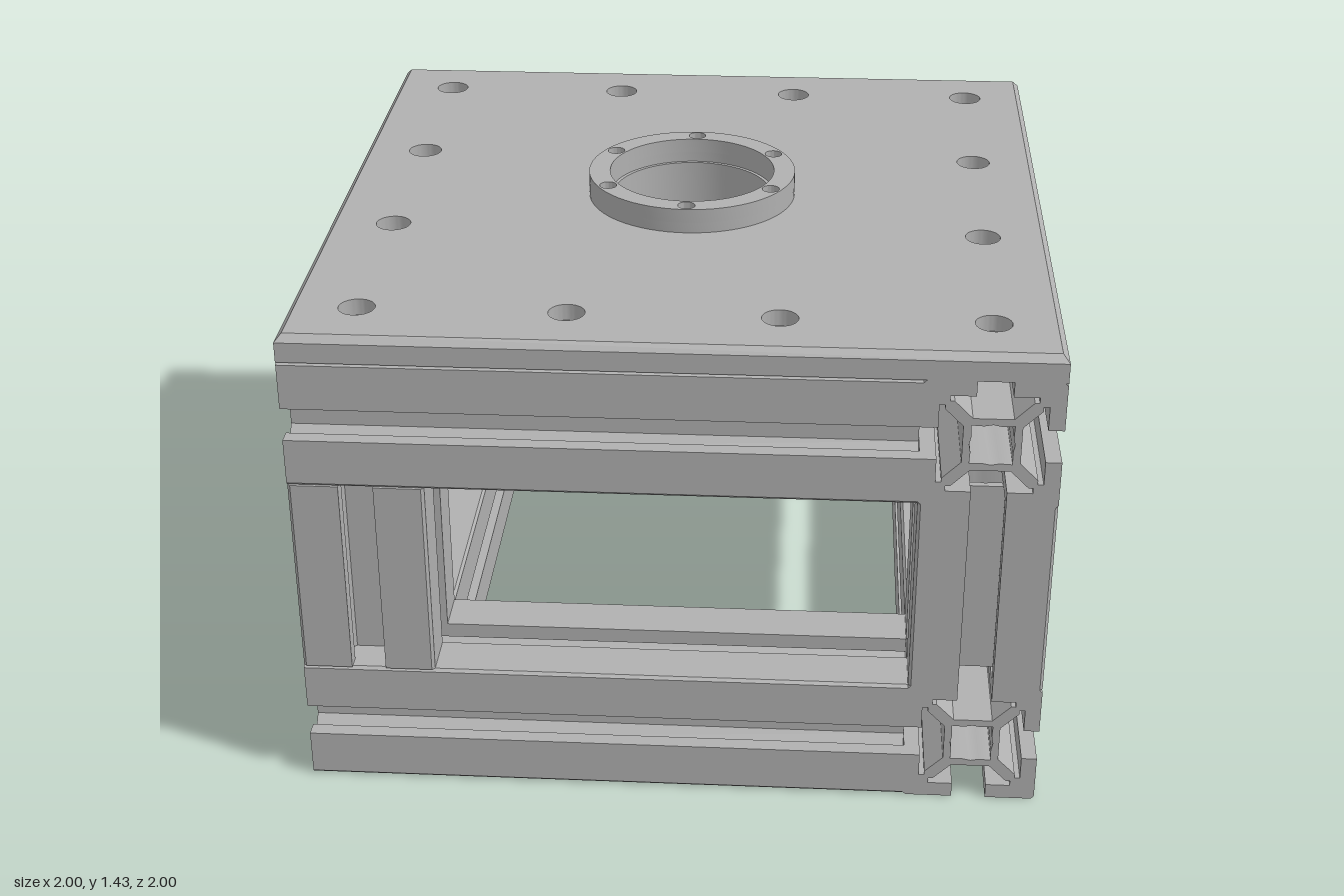
import * as THREE from 'three';
import { toCreasedNormals } from 'three/addons/utils/BufferGeometryUtils.js';

const W = 0.36;              // side of the slotted profile
const PLATE_Y = 1.285;       // underside of the top plate

function extrude(shape, depth, segments = 8) {
  const g = new THREE.ExtrudeGeometry(shape, { depth, bevelEnabled: false, curveSegments: segments });
  return toCreasedNormals(g, 0.5);
}

function addHole(shape, x, y, r) {
  shape.holes.push(new THREE.Path().absarc(x, y, r, 0, Math.PI * 2, true));
}

// T-slot cross-section: one half-side, mirrored and turned four times
function profileShape() {
  const half = [[0.075, 0], [0.075, 0.052], [0.123, 0.1], [0.123, 0.112], [0.138, 0.112],
    [0.138, 0.046], [0.18, 0.046], [0.18, 0.172]];
  const side = [...half.slice(1).reverse().map(([x, y]) => [x, -y]), ...half];
  const pts = [];
  for (let i = 0; i < 4; i++) {
    const c = [1, 0, -1, 0][i], s = [0, 1, 0, -1][i];
    for (const [x, y] of side) pts.push(new THREE.Vector2(c * x - s * y, s * x + c * y));
  }
  const shape = new THREE.Shape(pts);
  // scalloped central bore
  const bore = [];
  for (let i = 0; i < 16; i++) {
    const a = -i * Math.PI / 8, r = i % 4 === 2 ? 0.078 : 0.058;
    bore.push(new THREE.Vector2(Math.cos(a) * r, Math.sin(a) * r));
  }
  shape.holes.push(new THREE.Path(bore));
  return shape;
}

export function createModel() {
  const model = new THREE.Group();
  model.name = 'machineFrame';
  const grey = new THREE.MeshStandardMaterial({ color: 0xb0b0b0 });
  grey.name = 'aluminium grey';

  const add = (parent, name, geometry) => {
    const mesh = new THREE.Mesh(geometry, grey);
    mesh.name = name;
    parent.add(mesh);
    return mesh;
  };

  // Frame: the same side repeated around the vertical axis, like a pinwheel
  const profile = profileShape();
  const beamGeo = extrude(profile, 2 - W).rotateY(Math.PI / 2).translate(-1, 0, 0);
  const postGeo = extrude(profile, 0.565).rotateX(-Math.PI / 2);
  for (let i = 0; i < 4; i++) {
    const side = new THREE.Group();
    side.name = ['front', 'left', 'back', 'right'][i] + 'FrameSide';
    side.rotation.y = i * Math.PI / 2;
    add(side, 'lowerBeam', beamGeo).position.set(0, W / 2, 1 - W / 2);
    add(side, 'upperBeam', beamGeo).position.set(0, PLATE_Y - W / 2, 1 - W / 2);
    add(side, 'cornerPost', postGeo).position.set(1 - W / 2, W, 1 - W / 2);
    model.add(side);
  }

  // Top plate: narrow holes below, counterbores above
  const plate = new THREE.Group();
  plate.name = 'topPlate';
  const plateLayer = (half, boltRadius, y, h) => {
    const s = new THREE.Shape([[-half, -half], [half, -half], [half, half], [-half, half]]
      .map(([x, z]) => new THREE.Vector2(x, z)));
    addHole(s, 0, 0, 0.27);
    const row = [-0.82, -0.275, 0.275, 0.82];
    for (const x of row) for (const z of row) {
      if (Math.max(Math.abs(x), Math.abs(z)) > 0.5) addHole(s, x, z, boltRadius);
    }
    return extrude(s, h, 24).rotateX(-Math.PI / 2).translate(0, y, 0);
  };
  add(plate, 'plateBase', plateLayer(1, 0.028, PLATE_Y, 0.03));
  add(plate, 'plateTop', plateLayer(0.982, 0.048, 1.315, 0.045));
  // chamfered rim of the plate
  const rim = new THREE.LatheGeometry([[1, 1.315], [1, 1.34], [0.982, 1.36]]
    .map(([r, y]) => new THREE.Vector2(r * Math.SQRT2, y)), 4, Math.PI / 4);
  add(plate, 'plateChamfer', toCreasedNormals(rim, 0.3));
  model.add(plate);

  // Flanged bearing sleeve through the plate
  const sleeve = new THREE.Group();
  sleeve.name = 'sleeve';
  const ring = (name, outer, bore, y, h, boltRadius = 0) => {
    const s = new THREE.Shape().absarc(0, 0, outer, 0, Math.PI * 2, false);
    addHole(s, 0, 0, bore);
    for (let i = 0; boltRadius && i < 6; i++) {
      const a = Math.PI / 2 + i * Math.PI / 3;
      addHole(s, Math.cos(a) * 0.265, Math.sin(a) * 0.265, boltRadius);
    }
    add(sleeve, name, extrude(s, h, 36).rotateX(-Math.PI / 2).translate(0, y, 0));
  };
  ring('upperFlange', 0.295, 0.235, 1.39, 0.04, 0.024);
  ring('flangeBase', 0.295, 0.235, 1.36, 0.03, 0.012);
  ring('sleeveBody', 0.29, 0.225, 1.17, 0.19);
  ring('innerShoulder', 0.24, 0.21, 1.17, 0.05);
  ring('lowerFlangeBase', 0.295, 0.21, 1.14, 0.03, 0.012);
  ring('lowerFlange', 0.295, 0.235, 1.1, 0.04, 0.024);
  model.add(sleeve);

  return model;
}
